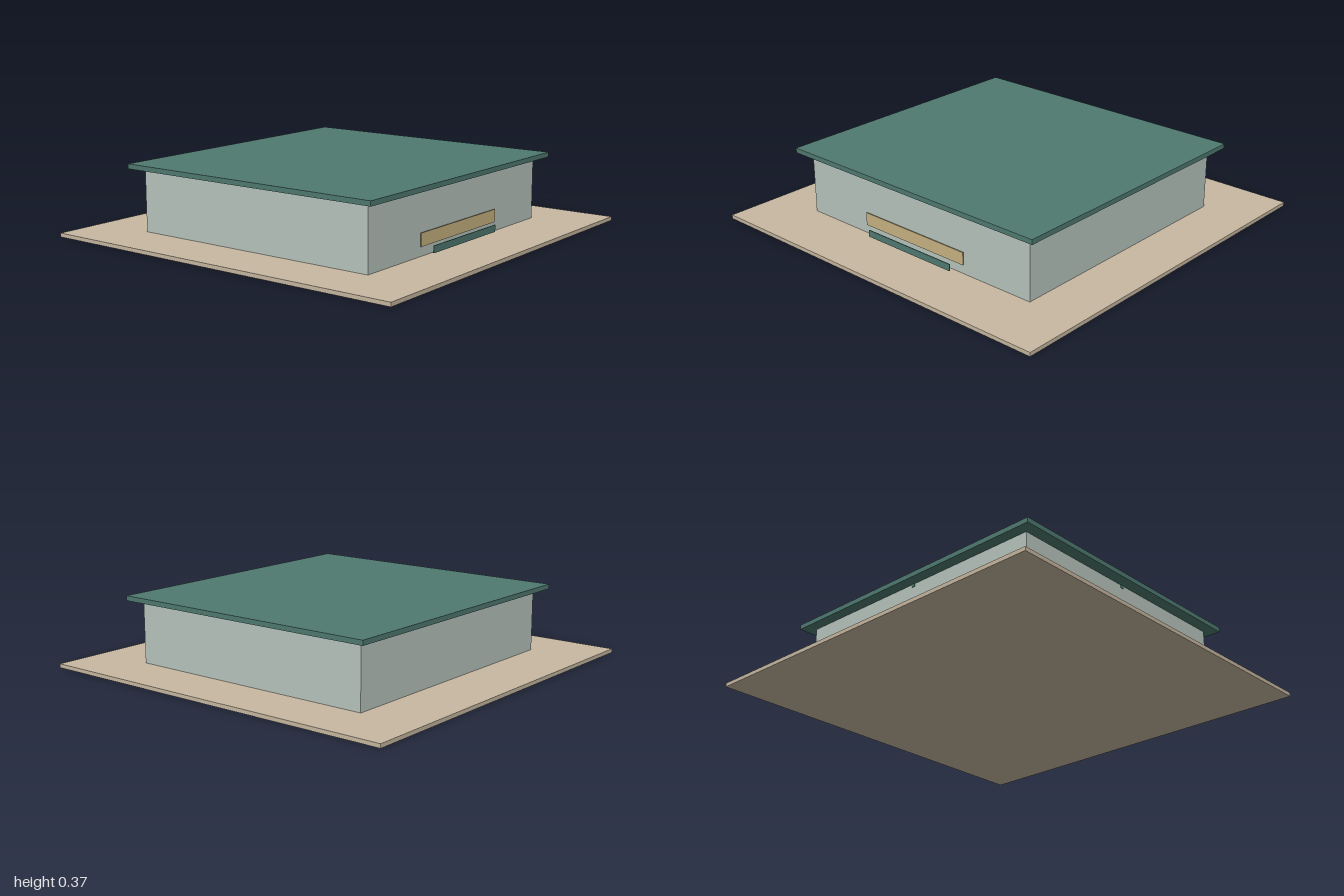
import * as THREE from 'three';

const paint = (name, color) => {
  const m = new THREE.MeshStandardMaterial({ color });
  m.name = name;
  return m;
};

export function createModel() {
  const group = new THREE.Group();
  const green = paint('roofGreen', 0x4f7a70);
  const wall = paint('paleWall', 0xb8c5be);
  const sand = paint('sand', 0xc7b8a1);
  const timber = paint('timber', 0xc9b382);

  // Box given by its size, its lower face and its centre in plan
  const box = (name, material, w, h, d, y, x = 0, z = 0) => {
    const mesh = new THREE.Mesh(new THREE.BoxGeometry(w, h, d), material);
    mesh.name = name;
    mesh.position.set(x, y + h / 2, z);
    group.add(mesh);
  };

  // Ground slab, building and overhanging flat roof
  box('groundSlab', sand, 2, 0.02, 2, 0);
  box('walls', wall, 1.44, 0.32, 1.36, 0.02);
  box('roof', green, 1.56, 0.025, 1.474, 0.34);

  // Small beam ends just under the eaves on all four sides
  for (const s of [-1, 1]) {
    box('beamEndAlongZ', green, 0.02, 0.015, 0.004, 0.325, 0, s * 0.681);
    box('beamEndAlongX', green, 0.004, 0.015, 0.02, 0.325, s * 0.721, 0);
  }

  // Counter board and the lower plate standing before the front wall
  box('counterBoard', timber, 0.65, 0.065, 0.005, 0.07, 0, 0.69);
  box('lowerPlate', green, 0.545, 0.035, 0.005, 0.035, 0, 0.725);

  return group;
}
